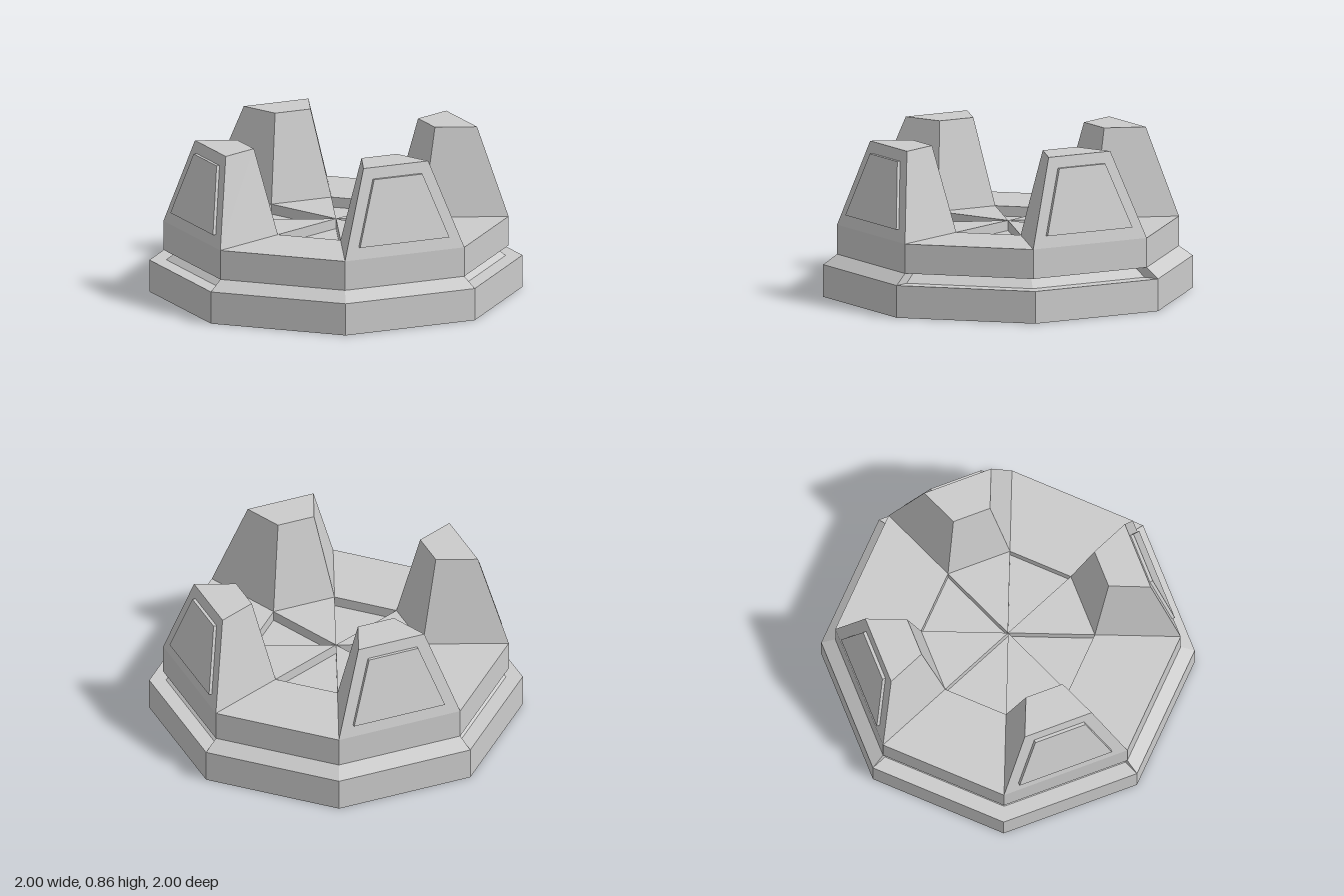
import * as THREE from 'three';

const HALF = Math.PI / 8;
const material = new THREE.MeshStandardMaterial({ color: 0xcccccc, flatShading: true });

// Solid between two matching loops of [x, y, z], counterclockwise seen from above
function loft(lower, upper) {
  const pos = [];
  const tri = (a, b, c) => pos.push(...a, ...b, ...c);
  const n = lower.length;
  for (let i = 0; i < n; i++) {
    const j = (i + 1) % n;
    tri(lower[i], lower[j], upper[j]);
    tri(lower[i], upper[j], upper[i]);
  }
  for (let i = 1; i < n - 1; i++) {
    tri(upper[0], upper[i], upper[i + 1]);
    tri(lower[0], lower[i + 1], lower[i]);
  }
  const geo = new THREE.BufferGeometry();
  geo.setAttribute('position', new THREE.Float32BufferAttribute(pos, 3));
  geo.computeVertexNormals();
  return geo;
}

// Trapezoid loop: outer edge then inner edge, given half widths and distances
const trapezoid = (y, outerHalf, outerZ, innerHalf, innerZ) => [
  [-outerHalf, y, outerZ], [outerHalf, y, outerZ],
  [innerHalf, y, innerZ], [-innerHalf, y, innerZ],
];

// Slice of an octagonal ring between two corner radii
const slice = (y, outer, inner) => trapezoid(y,
  outer * Math.sin(HALF), outer * Math.cos(HALF),
  inner * Math.sin(HALF), inner * Math.cos(HALF));

function add(parent, name, geometry) {
  const mesh = new THREE.Mesh(geometry, material);
  mesh.name = name;
  parent.add(mesh);
}

function octagon(parent, name, topR, bottomR, y0, y1) {
  const geo = new THREE.CylinderGeometry(topR, bottomR, y1 - y0, 8);
  geo.translate(0, (y0 + y1) / 2, 0);
  add(parent, name, geo);
}

export function createModel() {
  const model = new THREE.Group();
  model.name = 'octagonalPedestal';

  octagon(model, 'basePlate', 1, 1, 0, 0.175);
  octagon(model, 'neck', 0.84, 0.91, 0.175, 0.23);
  octagon(model, 'recessFloor', 0.5, 0.5, 0.23, 0.335);

  for (let i = 0; i < 8; i++) {
    const sector = new THREE.Group();
    sector.name = 'sector' + (i + 1);
    sector.rotation.y = HALF + (i * Math.PI) / 4;
    model.add(sector);
    const hasPillar = i % 2 === 0;

    // Upper tier: pillar sectors reach the centre, the others leave a shallow pocket
    const inner = hasPillar ? 0.001 : 0.465;
    add(sector, 'upperTier', loft(slice(0.23, 0.925, inner), slice(0.39, 0.925, inner)));

    // Sloped filler on the front and back sectors only; the sides keep a groove
    if ([0, 3, 4, 7].includes(i)) {
      add(sector, 'bevel', loft(slice(0.175, 1, 0.85), slice(0.23, 0.925, 0.8)));
    }

    if (hasPillar) {
      // Tapered pillar with a raised plate on its outer face
      add(sector, 'pillar', loft(slice(0.39, 0.925, 0.465),
        trapezoid(0.86, 0.192, 0.745, 0.105, 0.537)));
      add(sector, 'pillarPanel', loft(
        trapezoid(0.455, 0.265, 0.856, 0.265, 0.82),
        trapezoid(0.8, 0.143, 0.776, 0.143, 0.74)));
    }
  }
  return model;
}
